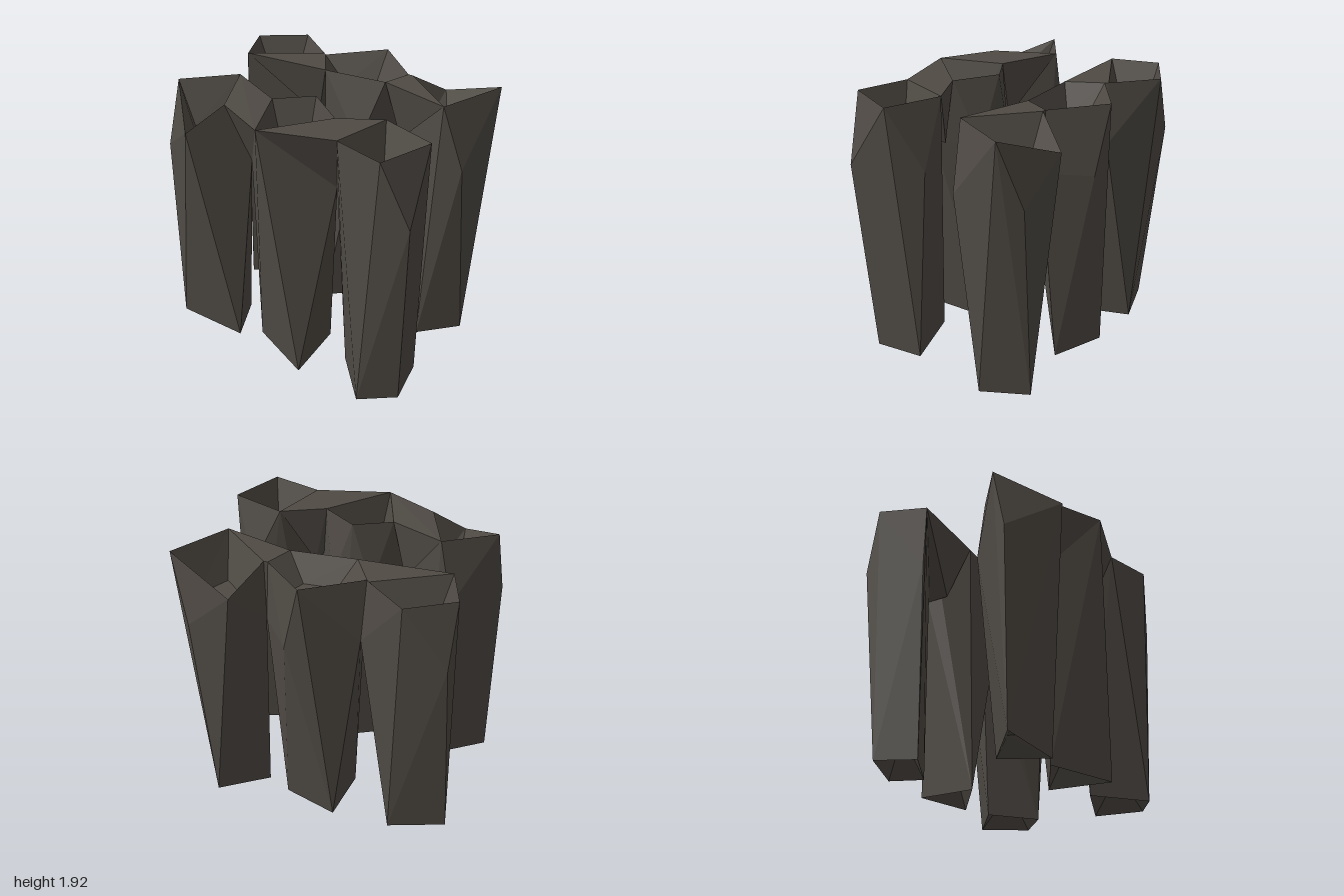
import * as THREE from 'three';
import { ConvexGeometry } from 'three/addons/geometries/ConvexGeometry.js';

const stone = new THREE.MeshStandardMaterial({ color: 0x4f4a44, flatShading: true, side: THREE.DoubleSide });
stone.name = 'dark stone';

const sides = ['Right', 'Middle', 'Left'];

// Corners as [x, distance from the middle, height?], running round from the west corner
const frontRow = {
  name: 'front', sign: 1,
  rims: [
    [[-.97, .43], [-.64, .16, 1.92], [-.45, .59], [-.64, .78, 1.72]],
    [[-.24, .34], [0, .17, 1.92], [.27, .36], [-.06, .78]],
    [[.45, .62], [.56, .2], [.96, .33], [.82, .72]],
  ],
  shoulders: [[[-1, .54], [-.73, .16]], [[-.13, .2], [.17, .2]], [[.78, .16], [1, .64]]],
  feet: [
    [[-.97, .55], [-.58, .23], [-.44, .56]],
    [[-.3, .47], [.14, .21], [.17, .68]],
    [[.39, .4], [.85, .21], [.92, .56], [.68, .72]],
  ],
  partings: [[-.33, .47], [.36, .47]],
  pits: [1.6, 1.5, 1.6],
  joins: [[1, 2, 0, 3], [2, 3, 0, 1]],
};
const backRow = {
  name: 'back', sign: -1,
  rims: [
    [[-.97, .52], [-.67, .73], [-.37, .5], [-.84, .2]],
    [[-.35, .48], [0, .78, 1.92], [.33, .5], [.26, .3], [-.2, .25]],
    [[.36, .5], [.5, .76, 1.73], [.98, .63, 1.92], [.78, .17]],
  ],
  shoulders: [[[-.95, .62], [-.86, .2]], [[.12, .75], [.12, .18]], [[.83, .73], [.92, .22]]],
  feet: [
    [[-.96, .46], [-.58, .62], [-.48, .4], [-.86, .18]],
    [[-.17, .64], [.23, .53], [-.18, .21]],
    [[.41, .45], [.72, .7], [.91, .4], [.66, .17]],
  ],
  partings: [[-.33, .53], [.36, .49]],
  pits: [1.6, 1.72, 1.6],
  joins: [[2, 3, 0, 4], [2, 3, 0, 3]],
};

// Copy of a ring shrunk towards its centre at a new height
function shrink(ring, k, y) {
  const c = ring.reduce((s, p) => s.add(p), new THREE.Vector3()).divideScalar(ring.length);
  return ring.map(p => c.clone().lerp(p, k).setY(y));
}

// Dish joining a ring to a smaller floor at height y; up tells which way it opens
function dish(out, ring, y, up) {
  const floor = shrink(ring, 0.5, y), middle = shrink(ring, 0, y)[0];
  const tri = (a, b, c) => (up ? [a, b, c] : [a, c, b]).forEach(p => out.push(p.x, p.y, p.z));
  ring.forEach((p, i) => {
    const j = (i + 1) % ring.length;
    tri(p, floor[i], ring[j]);
    tri(ring[j], floor[i], floor[j]);
    tri(floor[i], middle, floor[j]);
  });
}

// Faceted shaft spanning foot, shoulder and rim, with both ends hollowed
function pillarGeometry(foot, shoulder, rim, pit) {
  const hull = new ConvexGeometry([...foot, ...shoulder, ...rim]);
  const pos = hull.attributes.position, normal = hull.attributes.normal;
  const out = [];
  for (let i = 0; i < pos.count; i += 3) {
    if (Math.abs(normal.getY(i)) > 0.6) continue;
    out.push(...pos.array.slice(i * 3, i * 3 + 9));
  }
  dish(out, rim, pit, true);
  dish(out, foot, 0.14, false);
  const geo = new THREE.BufferGeometry();
  geo.setAttribute('position', new THREE.Float32BufferAttribute(out, 3));
  geo.computeVertexNormals();
  return geo;
}

export function createModel() {
  const group = new THREE.Group();
  group.name = 'stonePillars';
  const add = (name, geo) => {
    const mesh = new THREE.Mesh(geo, stone);
    mesh.name = name;
    group.add(mesh);
  };
  for (const row of [frontRow, backRow]) {
    const place = (corners, y) => corners.map(([x, z, h = y]) => new THREE.Vector3(x, h, z * row.sign));
    const rims = row.rims.map(rim => place(rim, 1.905));
    const partings = place(row.partings, 1.47);

    rims.forEach((rim, i) => {
      const foot = place(row.feet[i], 0.015);
      foot[foot.length - 1].y = 0;
      // Neighbouring shafts touch at the partings between them
      const shoulder = [...place(row.shoulders[i], 1.44), ...partings.slice(Math.max(0, i - 1), i + 1)];
      add(`${row.name}${sides[i]}Pillar`, pillarGeometry(foot, shoulder, rim, row.pits[i]));
    });

    // Bridges: flat tops tapering to a ridge where neighbouring pillars part
    row.joins.forEach(([p, q, r, s], i) => {
      const ridge = partings[i];
      add(`${row.name}${sides[i * 2]}Bridge`, new ConvexGeometry([
        rims[i][p], rims[i][q], rims[i + 1][r], rims[i + 1][s],
        ridge, ridge.clone().setZ(0.36 * row.sign),
      ]));
    });
  }
  return group;
}
